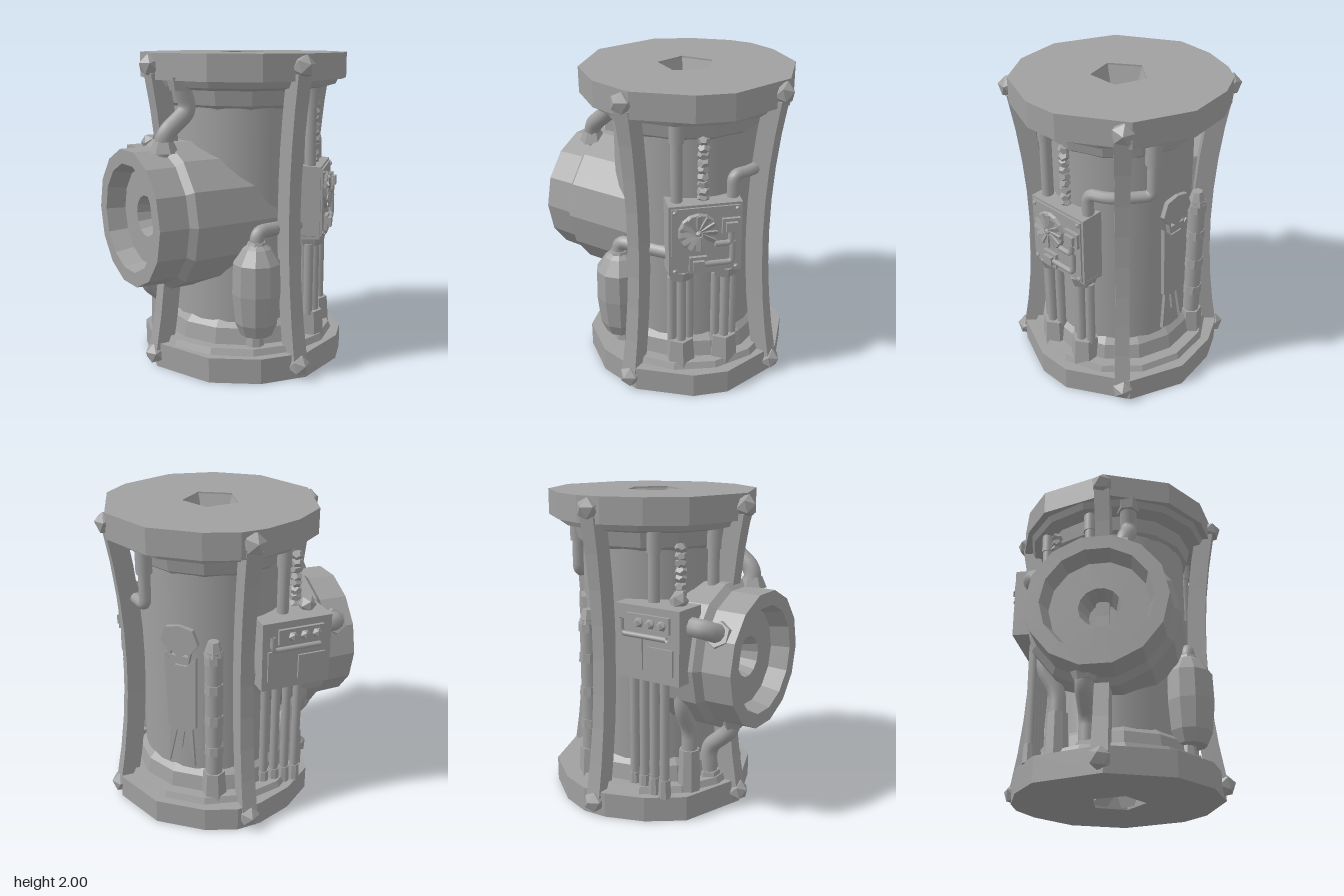
import * as THREE from 'three';

export function createModel() {
  const model = new THREE.Group();
  const grey = new THREE.MeshStandardMaterial({ color: 0xa0a0a0 });
  const V = (x, y, z) => new THREE.Vector3(x, y, z);
  const CX = 0.05; // axis of the drum

  // flat = true gives faceted normals
  const add = (parent, name, geo, x = 0, y = 0, z = 0, flat = true) => {
    let g = geo;
    if (flat) {
      g = geo.index ? geo.toNonIndexed() : geo;
      g.computeVertexNormals();
    }
    const m = new THREE.Mesh(g, grey);
    m.name = name;
    m.position.set(x, y, z);
    parent.add(m);
    return m;
  };
  const cyl = (parent, name, r0, r1, y0, y1, x, z, n = 8, flat = true) =>
    add(parent, name, new THREE.CylinderGeometry(r1, r0, y1 - y0, n), x, (y0 + y1) / 2, z, flat);
  const box = (parent, name, w, h, d, x, y, z) =>
    add(parent, name, new THREE.BoxGeometry(w, h, d), x, y, z);
  // tube through points with rounded corners
  const pipe = (parent, name, pts, r, bend = 0.06) => {
    const path = new THREE.CurvePath();
    let last = pts[0];
    for (let i = 1; i < pts.length - 1; i++) {
      const a = pts[i].clone().add(pts[i - 1].clone().sub(pts[i]).setLength(bend));
      const b = pts[i].clone().add(pts[i + 1].clone().sub(pts[i]).setLength(bend));
      path.add(new THREE.LineCurve3(last, a));
      path.add(new THREE.QuadraticBezierCurve3(a, pts[i], b));
      last = b;
    }
    path.add(new THREE.LineCurve3(last, pts[pts.length - 1]));
    return add(parent, name, new THREE.TubeGeometry(path, 14 * pts.length, r, 10), 0, 0, 0, false);
  };
  const group = (name, x, y, z, ry) => {
    const g = new THREE.Group();
    g.name = name;
    g.position.set(x, y, z);
    g.rotation.y = ry;
    model.add(g);
    return g;
  };

  // Drum and stepped collars
  add(model, 'drum', new THREE.CylinderGeometry(0.46, 0.46, 1.6, 32, 1, true), CX, 1, 0, false);
  const collar = (name, pts) => add(model, name,
    new THREE.LatheGeometry(pts.map(([r, y]) => new THREE.Vector2(r, y)), 14), CX, 0, 0);
  collar('topCollar', [[0.45, 1.66], [0.49, 1.69], [0.51, 1.78], [0.6, 1.8], [0.63, 1.86]]);
  collar('bottomCollar', [[0.62, 0.13], [0.59, 0.2], [0.52, 0.2], [0.5, 0.3], [0.45, 0.35]]);

  // End plates with a five-sided recess
  const rim = [[0.13, 0.67], [0.33, 0.6], [0.59, 0.4], [0.73, 0.05], [0.61, -0.37], [0.45, -0.53],
    [0.1, -0.67], [-0.2, -0.61], [-0.46, -0.42], [-0.615, -0.02], [-0.48, 0.41], [-0.27, 0.57], [-0.03, 0.66]];
  const pent = [];
  for (let i = 0; i < 5; i++) {
    const a = 1.05 + i * Math.PI * 0.4;
    pent.push(new THREE.Vector2(CX + 0.18 * Math.cos(a), 0.18 * Math.sin(a)));
  }
  for (const top of [true, false]) {
    const s = new THREE.Shape(rim.map(([x, y]) => new THREE.Vector2(x, y)));
    s.holes.push(new THREE.Path(pent));
    const g = new THREE.ExtrudeGeometry(s, { depth: 0.16, bevelEnabled: false });
    g.rotateX(-Math.PI / 2);
    add(model, top ? 'topPlate' : 'bottomPlate', g, 0, top ? 1.84 : 0, 0);
    const cup = new THREE.LatheGeometry(
      [[0.025, 0], [0.14, 0], [0.18, 0.12]].map(([r, y]) => new THREE.Vector2(r, y)), 5, Math.PI / 2 + 1.05);
    // lathe faces outward, so flip the winding to show the inside of the cup
    const ix = cup.index.array;
    for (let i = 0; i < ix.length; i += 3) [ix[i], ix[i + 1]] = [ix[i + 1], ix[i]];
    if (!top) cup.rotateX(Math.PI);
    const c = add(model, 'recess', cup, CX, top ? 1.87 : 0.13, 0);
    c.material = recessMaterial(grey);
  }

  // Four waisted pillars with end bolts
  for (let i = 0; i < 4; i++) {
    const p = group('pillar', CX, 0, 0, i * Math.PI / 2);
    const g = new THREE.BoxGeometry(0.1, 1.76, 0.12, 1, 8, 1);
    const pos = g.attributes.position;
    for (let k = 0; k < pos.count; k++) {
      const t = pos.getY(k) / 0.88;
      pos.setZ(k, pos.getZ(k) + 0.535 + 0.085 * t * t);
      pos.setX(k, pos.getX(k) * (0.85 + 0.15 * t * t));
    }
    add(p, 'pillarBeam', g, 0, 1, 0);
    for (const y of [0.085, 1.925]) {
      const b = add(p, 'bolt', new THREE.IcosahedronGeometry(0.072), 0, y, 0.662);
      b.rotation.set(0.3, 0.2, 0.4);
    }
  }

  // Side port
  const port = [[0.47, -0.04], [0.475, 0.55], [0.435, 0.59], [0.43, 0.78], [0.34, 0.78],
    [0.31, 0.66], [0.13, 0.66], [0.09, 0.52], [0, 0.52]];
  const portMesh = add(model, 'sidePort',
    new THREE.LatheGeometry(port.map(([r, y]) => new THREE.Vector2(r, y)), 14), 0, 1, 0);
  portMesh.rotation.z = Math.PI / 2;
  pipe(model, 'portUpperPipe', [V(-0.49, 1.85, 0.15), V(-0.43, 1.66, 0.15), V(-0.6, 1.52, 0.15), V(-0.6, 1.38, 0.12)], 0.055);
  pipe(model, 'portLowerPipe', [V(-0.45, 0.15, -0.1), V(-0.45, 0.39, -0.1), V(-0.61, 0.53, -0.1), V(-0.61, 0.64, -0.08)], 0.055);
  cyl(model, 'portFlange', 0.09, 0.06, 1.41, 1.48, -0.6, 0.14, 6);
  cyl(model, 'portFlange', 0.06, 0.09, 0.55, 0.62, -0.61, -0.09, 6);
  cyl(model, 'pipeFoot', 0.09, 0.07, 0.14, 0.23, -0.45, -0.1, 6);
  cyl(model, 'pipeFoot', 0.07, 0.09, 1.78, 1.86, -0.48, 0.15, 6);

  // Tank and its feed pipe
  const tank = [[0, 0.27], [0.1, 0.28], [0.135, 0.36], [0.155, 0.55], [0.15, 0.74], [0.09, 0.83], [0.05, 0.86], [0, 0.86]];
  add(model, 'tank', new THREE.LatheGeometry(tank.map(([r, y]) => new THREE.Vector2(r, y)), 10), -0.15, 0, 0.48);
  cyl(model, 'tankFoot', 0.07, 0.045, 0.15, 0.3, -0.15, 0.46);
  pipe(model, 'tankPipe', [V(-0.15, 0.82, 0.48), V(-0.15, 0.93, 0.48), V(0.26, 0.93, 0.42)], 0.045);
  cyl(model, 'tankCap', 0.07, 0.055, 0.83, 0.87, -0.15, 0.48);

  // Front control box, facing the front corner
  const f = group('frontControlBox', CX, 0, 0, Math.PI / 4);
  const boxGeo = new THREE.BoxGeometry(0.45, 0.46, 0.19);
  const bp = boxGeo.attributes.position;
  for (let k = 0; k < bp.count; k++) if (bp.getZ(k) < 0) bp.setY(k, bp.getY(k) * 1.04);
  add(f, 'boxBody', boxGeo, 0, 1.07, 0.455);
  box(f, 'boxFacePlate', 0.42, 0.43, 0.02, 0, 1.07, 0.552);
  for (const sx of [-1, 1]) for (const sy of [-1, 1])
    add(f, 'screw', new THREE.IcosahedronGeometry(0.016), sx * 0.19, 1.07 + sy * 0.195, 0.562);
  cyl(f, 'fanDisc', 0.125, 0.115, -0.01, 0.01, 0, 0, 14).rotation.x = Math.PI / 2;
  f.children[f.children.length - 1].position.set(-0.05, 1.13, 0.57);
  for (let i = 0; i < 12; i++) {
    const a = i * Math.PI / 6;
    const b = box(f, 'fanBlade', 0.09, 0.03, 0.012, -0.05 + 0.068 * Math.cos(a), 1.13 + 0.068 * Math.sin(a), 0.588);
    b.rotation.set(0.4, 0, a, 'ZYX');
  }
  add(f, 'fanHub', new THREE.IcosahedronGeometry(0.022), -0.05, 1.13, 0.59);
  for (const [x, y] of [[0.15, 1.16], [-0.05, 0.92]]) {
    box(f, 'valveBlock', 0.11, 0.1, 0.025, x, y, 0.572);
    box(f, 'valveCap', 0.07, 0.06, 0.03, x, y, 0.592);
  }
  pipe(f, 'facePipe', [V(-0.05, 0.92, 0.58), V(0.16, 0.92, 0.58), V(0.16, 1.06, 0.58)], 0.018, 0.03);
  pipe(f, 'facePipe', [V(0.15, 1.13, 0.58), V(0.15, 1.05, 0.58), V(0.05, 1.05, 0.58)], 0.018, 0.03);
  for (const s of [-1, 1]) { // pipe bundles below the box
    const x = s * 0.14;
    cyl(f, 'bundleCap', 0.075, 0.1, 0.79, 0.86, x, 0.48, 6);
    cyl(f, 'bundleFoot', 0.1, 0.085, 0.15, 0.35, x, 0.48, 6);
    for (const [dx, dz] of [[-0.055, 0], [0, 0.03], [0.055, 0], [0, -0.04]])
      cyl(f, 'bundlePipe', 0.03, 0.03, 0.33, 0.8, x + dx, 0.48 + dz, 8, false);
  }

  // Pipes and twisted cable rising from the front box
  const riser = (x, z, y0) => {
    cyl(model, 'riserPipe', 0.037, 0.037, y0, 1.82, x, z, 10, false);
    cyl(model, 'riserSleeve', 0.045, 0.045, 1.67, 1.82, x, z, 10, false);
  };
  const cable = (x, z, y0, y1) => {
    for (let y = y0, i = 0; y < y1; y += 0.045, i++) {
      const m = add(model, 'cableKnot', new THREE.DodecahedronGeometry(0.04), x, y, z);
      m.scale.set(1, 0.8, 1);
      m.rotation.set(0.5 * (i % 2 ? 1 : -1), i * 0.9, 0);
    }
  };
  riser(0.27, 0.45, 1.28);
  cable(0.385, 0.335, 1.31, 1.68);
  const wrap = [V(0.51, 1.25, 0.2), V(0.51, 1.44, 0.2)];
  for (const a of [0.18, 0, -0.18]) wrap.push(V(CX + 0.52 * Math.cos(a), 1.44, 0.52 * Math.sin(a)));
  wrap.push(V(0.545, 1.44, -0.18), V(0.545, 1.82, -0.18));
  wrap.splice(4, 1);
  pipe(model, 'wrapPipe', wrap, 0.037, 0.05);
  cyl(model, 'wrapSleeve', 0.05, 0.05, 1.65, 1.83, 0.545, -0.18, 10, false);

  // Rear control box
  const r = group('rearControlBox', -0.29, 1.15, -0.45, Math.PI);
  box(r, 'boxBody', 0.46, 0.45, 0.23, 0, 0, 0);
  box(r, 'upperPanel', 0.3, 0.1, 0.03, 0.02, 0.13, 0.12);
  box(r, 'lowerPanel', 0.17, 0.2, 0.02, -0.11, -0.06, 0.118);
  box(r, 'sidePanel', 0.18, 0.16, 0.02, 0.1, -0.09, 0.118);
  for (const x of [-0.04, 0.04, 0.12])
    add(r, 'gaugeKnob', new THREE.IcosahedronGeometry(0.035), x, 0.13, 0.13);
  pipe(r, 'panelPipe', [V(-0.17, 0.14, 0.13), V(-0.17, 0.05, 0.13), V(0.15, 0.05, 0.13)], 0.016, 0.03);
  for (let i = 0; i < 4; i++) {
    const x = -0.13 - i * 0.075;
    cyl(model, 'rearPipe', 0.03, 0.03, 0.2, 0.95, x, -0.47, 8, false);
    cyl(model, 'rearPipeFoot', 0.042, 0.036, 0.15, 0.27, x, -0.47, 8);
  }
  pipe(model, 'rearBentPipe', [V(-0.42, 0.95, -0.38), V(-0.42, 0.72, -0.38), V(-0.42, 0.56, -0.29), V(-0.42, 0.3, -0.29)], 0.052);
  cyl(model, 'rearBentSleeve', 0.075, 0.065, 0.15, 0.43, -0.42, -0.29);
  pipe(model, 'rearElbow', [V(-0.45, 1.26, -0.42), V(-0.63, 1.26, -0.45), V(-0.66, 1.2, -0.3)], 0.06, 0.09);
  const fl = cyl(model, 'elbowFlange', 0.1, 0.08, -0.03, 0.03, 0, 0, 6);
  fl.position.set(-0.655, 1.21, -0.35);
  fl.rotation.x = -1.1;
  riser(-0.25, -0.43, 1.3);
  riser(-0.46, -0.1, 1.4);
  cable(-0.38, -0.34, 1.38, 1.7);
  add(model, 'boxKnob', new THREE.IcosahedronGeometry(0.06), -0.42, 1.4, -0.42);

  // Relief plate on the rear corner of the drum
  const relief = group('reliefPlate', CX, 0, 0, Math.PI * 0.75);
  const plate = (name, pts, z, holes = []) => {
    const s = new THREE.Shape(pts.map(([x, y]) => new THREE.Vector2(x, y)));
    for (const h of holes) s.holes.push(new THREE.Path(h.map(([x, y]) => new THREE.Vector2(x, y))));
    add(relief, name, new THREE.ExtrudeGeometry(s, { depth: 0.03, bevelEnabled: false }), 0, 0, z);
  };
  const eye = (s) => [[s * 0.02, 1.15], [s * 0.055, 1.18], [s * 0.06, 1.15]];
  plate('reliefHead', [[-0.06, 1.1], [0.06, 1.1], [0.075, 1.17], [0.125, 1.24], [0.09, 1.33], [0, 1.35],
    [-0.09, 1.33], [-0.125, 1.24], [-0.075, 1.17]], 0.455, [eye(-1), eye(1)]);
  plate('reliefBody', [[-0.09, 0.64], [0, 0.6], [0.1, 0.65], [0.105, 1.14], [0.04, 1.08], [-0.04, 1.08], [-0.105, 1.14]], 0.445);
  for (const s of [-1, 0, 1])
    plate('reliefTail', [[s * 0.05 - 0.025, 0.65], [s * 0.09, s ? 0.36 : 0.48], [s * 0.05 + 0.025, 0.65]], 0.445);

  // Upright canister beside the relief
  cyl(model, 'canister', 0.055, 0.055, 0.3, 1.22, 0.22, -0.48, 10, false);
  cyl(model, 'canisterTip', 0.065, 0.035, 1.19, 1.28, 0.22, -0.48, 7);
  for (const y of [0.5, 0.72, 0.94, 1.14]) cyl(model, 'canisterBand', 0.064, 0.06, y, y + 0.06, 0.22, -0.48, 8);
  cyl(model, 'canisterFoot', 0.085, 0.07, 0.15, 0.36, 0.22, -0.48, 6);

  return model;
}

// Thin recess cups are seen from inside
let cupMaterial;
function recessMaterial(base) {
  if (!cupMaterial) {
    cupMaterial = base;
    base.name = 'grey metal';
    base.side = THREE.DoubleSide;
  }
  return base;
}
